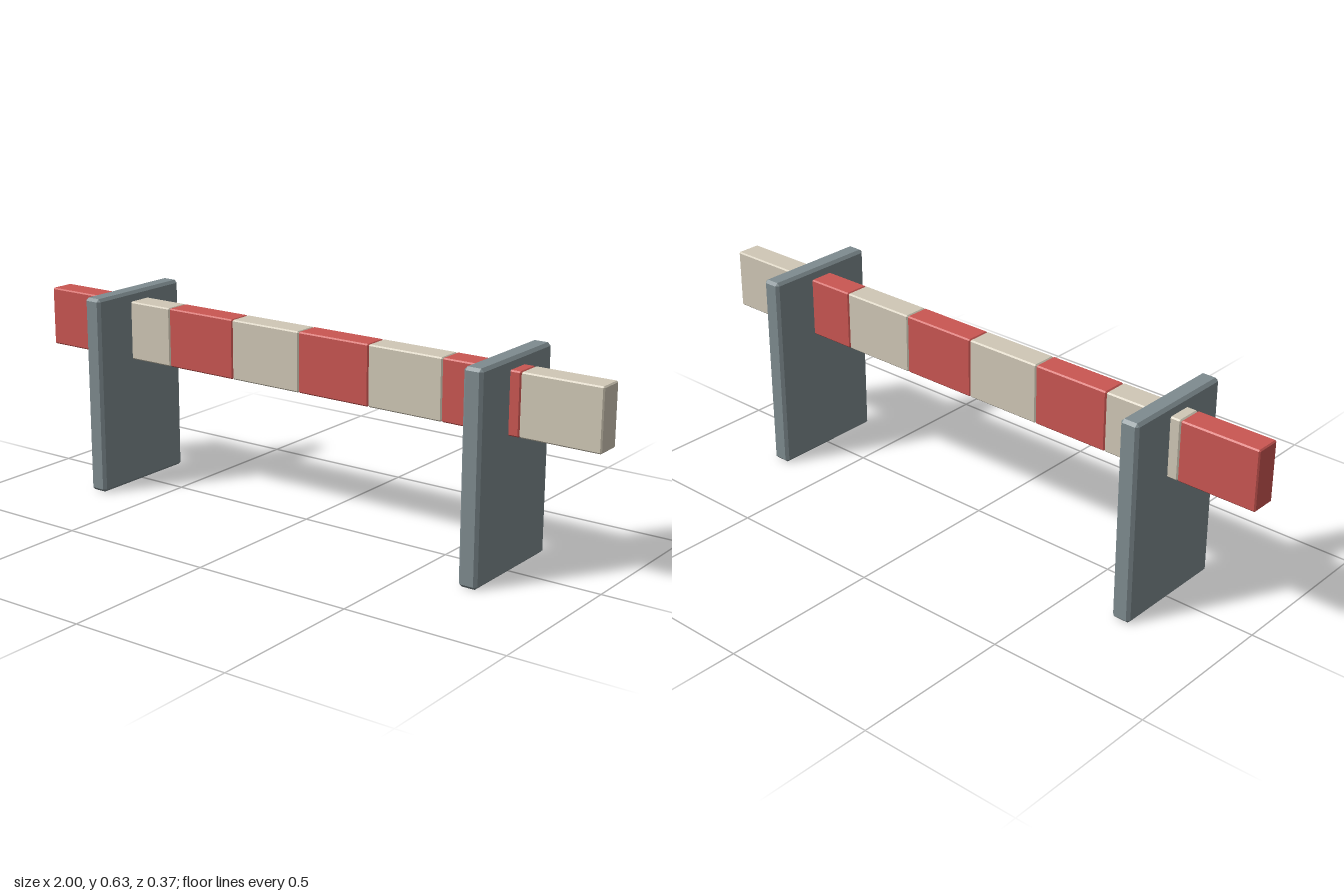
import * as THREE from 'three';
import { ConvexGeometry } from 'three/addons/geometries/ConvexGeometry.js';

// Box whose every edge is cut by one flat chamfer
function chamferBox(w, h, d, c) {
  const points = [];
  for (const sx of [-1, 1]) for (const sy of [-1, 1]) for (const sz of [-1, 1]) {
    const x = w / 2, y = h / 2, z = d / 2;
    points.push(
      new THREE.Vector3(sx * x, sy * (y - c), sz * (z - c)),
      new THREE.Vector3(sx * (x - c), sy * y, sz * (z - c)),
      new THREE.Vector3(sx * (x - c), sy * (y - c), sz * z),
    );
  }
  return new ConvexGeometry(points);
}

export function createModel() {
  const material = (name, color) => {
    const m = new THREE.MeshStandardMaterial({ color });
    m.name = name;
    return m;
  };
  const red = material('red', 0xca5652);
  const cream = material('cream', 0xd0c8b6);
  const grey = material('slateGrey', 0x7e8b8f);

  const group = new THREE.Group();
  group.name = 'barrier';
  const add = (name, geometry, mat, x, y) => {
    const mesh = new THREE.Mesh(geometry, mat);
    mesh.name = name;
    mesh.position.set(x, y, 0);
    group.add(mesh);
  };

  // Two upright panels
  const panel = chamferBox(0.06, 0.626, 0.374, 0.009);
  add('leftPanel', panel, grey, 0.687, 0.313);
  add('rightPanel', panel, grey, -0.687, 0.313);

  // Crossbar of eight alternating blocks, red first from the model's right
  const block = chamferBox(0.25, 0.186, 0.08, 0.004);
  for (let i = 0; i < 8; i++) {
    add(`barBlock${i + 1}`, block, i % 2 ? cream : red, -0.875 + i * 0.25, 0.501);
  }
  return group;
}
